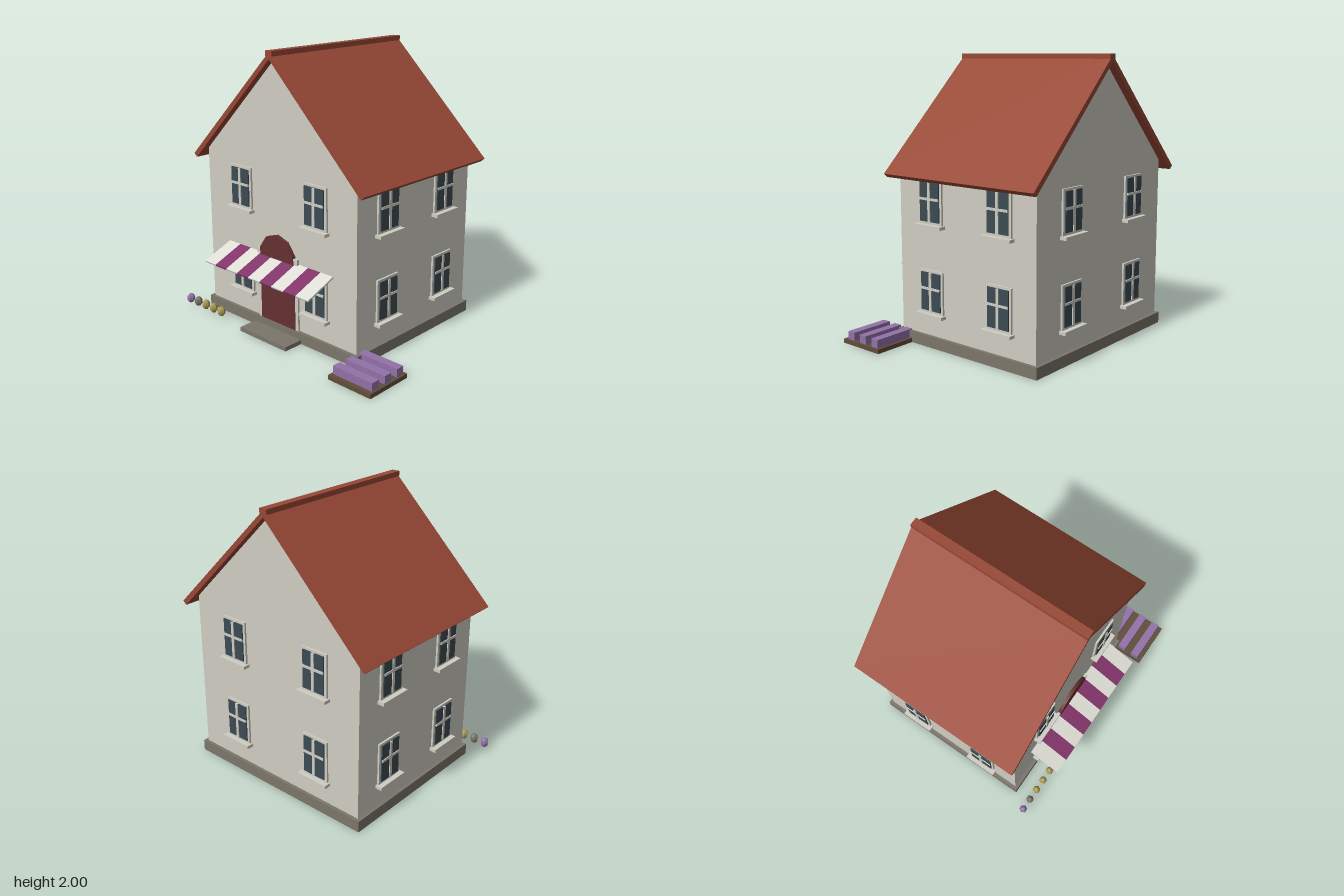
import * as THREE from 'three';

const mat = (name, color) => {
  const m = new THREE.MeshStandardMaterial({ color });
  m.name = name;
  return m;
};

export function createModel() {
  const wall = mat('wall plaster', 0xcfcdc2);
  const stone = mat('stone', 0x7b766b);
  const roofTile = mat('roof tile', 0x984835);
  const glass = mat('window glass', 0x3c4b53);
  const doorRed = mat('door red', 0x653030);
  const cream = mat('awning cream', 0xdfded6);
  const plum = mat('awning plum', 0x82346a);
  const soil = mat('soil', 0x5f4d39);
  const lavender = mat('lavender', 0x9272a8);
  const yellow = mat('yellow', 0xaa9a52);

  const model = new THREE.Group();
  model.name = 'house';

  const add = (parent, name, geometry, material) => {
    const m = new THREE.Mesh(geometry, material);
    m.name = name;
    parent.add(m);
    return m;
  };
  // box given by its min and max corners
  const box = (parent, name, material, [x0, y0, z0], [x1, y1, z1]) => {
    const m = add(parent, name, new THREE.BoxGeometry(x1 - x0, y1 - y0, z1 - z0), material);
    m.position.set((x0 + x1) / 2, (y0 + y1) / 2, (z0 + z1) / 2);
    return m;
  };
  // outline in x and y, extruded from z0 to z1
  const prism = (parent, name, material, points, z0, z1) => {
    const shape = new THREE.Shape(points.map(([x, y]) => new THREE.Vector2(x, y)));
    const g = new THREE.ExtrudeGeometry(shape, { depth: z1 - z0, bevelEnabled: false });
    g.translate(0, 0, z0);
    return add(parent, name, g, material);
  };

  // House body, centred on its own axis
  const house = new THREE.Group();
  house.name = 'building';
  house.position.set(-0.102, 0, -0.102);
  model.add(house);
  const W = 0.722, D = 0.597;

  box(house, 'plinth', stone, [-0.747, 0, -0.62], [0.747, 0.08, 0.62]);
  prism(house, 'walls', wall,
    [[-W, 0.08], [W, 0.08], [W, 1.238], [0, 1.945], [-W, 1.238]], -D, D);

  // Roof slopes and ridge
  for (const s of [-1, 1]) {
    prism(house, s < 0 ? 'rightRoofSlope' : 'leftRoofSlope', roofTile,
      [[0, 1.945], [s * 0.797, 1.163], [s * 0.825, 1.188], [0, 1.99]], -0.652, 0.65);
  }
  box(house, 'ridgeCap', roofTile, [-0.03, 1.965, -0.652], [0.03, 2, 0.652]);

  // Window facing +z, origin at the wall, centred on its frame
  const makeWindow = () => {
    const w = new THREE.Group();
    w.name = 'window';
    box(w, 'windowFrame', wall, [-0.107, -0.15, -0.01], [0.107, 0.151, 0.014]);
    box(w, 'windowPane', glass, [-0.088, -0.132, 0], [0.088, 0.135, 0.022]);
    box(w, 'windowMullion', wall, [-0.011, -0.132, 0], [0.011, 0.135, 0.028]);
    box(w, 'windowTransom', wall, [-0.088, 0.015, 0], [0.088, 0.032, 0.028]);
    box(w, 'windowSill', wall, [-0.123, -0.172, -0.01], [0.123, -0.15, 0.05]);
    return w;
  };
  // Two floors of two windows on each of four sides
  for (let side = 0; side < 4; side++) {
    const face = new THREE.Group();
    face.name = ['frontWindows', 'leftWindows', 'backWindows', 'rightWindows'][side];
    face.rotation.y = side * Math.PI / 2;
    house.add(face);
    const across = side % 2 ? 0.3 : 0.362;
    for (const x of [-across, across]) for (const y of [0.395, 1.015]) {
      const w = makeWindow();
      w.position.set(x, y, side % 2 ? W : D);
      face.add(w);
    }
  }

  // Door with faceted arch, posts and lintel
  box(house, 'door', doorRed, [-0.17, 0.08, D - 0.01], [0.17, 0.567, D + 0.018]);
  const arch = add(house, 'doorArch', new THREE.CylinderGeometry(0.172, 0.172, 0.035, 10), doorRed);
  arch.rotation.x = -Math.PI / 2;
  arch.rotation.y = Math.PI;
  arch.position.set(0, 0.567, D + 0.0075);
  for (const s of [-1, 1]) {
    const post = box(house, 'doorPost', wall, [-0.014, 0.08, D - 0.01], [0.014, 0.567, D + 0.015]);
    post.position.x = s * 0.184;
  }
  box(house, 'doorLintel', wall, [-0.2, 0.565, D - 0.01], [0.2, 0.608, D + 0.02]);
  box(house, 'doorStep', stone, [-0.232, 0, 0.6], [0.232, 0.03, 0.77]);

  // Striped sloping awning
  const awning = new THREE.Group();
  awning.name = 'awning';
  awning.position.set(0, 0.566, D);
  awning.rotation.x = Math.atan2(0.094, 0.235);
  house.add(awning);
  const stripe = 1.034 / 9;
  for (let i = 0; i < 9; i++) {
    const x = -0.517 + i * stripe;
    box(awning, 'awningStripe', i % 2 ? plum : cream, [x, -0.005, 0], [x + stripe, 0.007, 0.253]);
  }

  // Flower bed with three planted rows
  box(model, 'flowerBed', soil, [0.6, 0, 0.387], [0.957, 0.03, 0.745]);
  for (let i = 0; i < 3; i++) {
    const z = 0.41 + i * 0.12;
    box(model, 'flowerRow', lavender, [0.613, 0.03, z], [0.942, 0.088, z + 0.062]);
  }

  // Row of small faceted pots
  const ball = new THREE.SphereGeometry(0.03, 6, 6).toNonIndexed();
  ball.scale(1, 1.25, 1);
  ball.computeVertexNormals();
  [lavender, stone, yellow, yellow, yellow].forEach((m, i) => {
    add(model, 'flowerBud', ball, m).position.set(-0.93 + i * 0.09, 0.07, 0.643);
  });

  return model;
}
